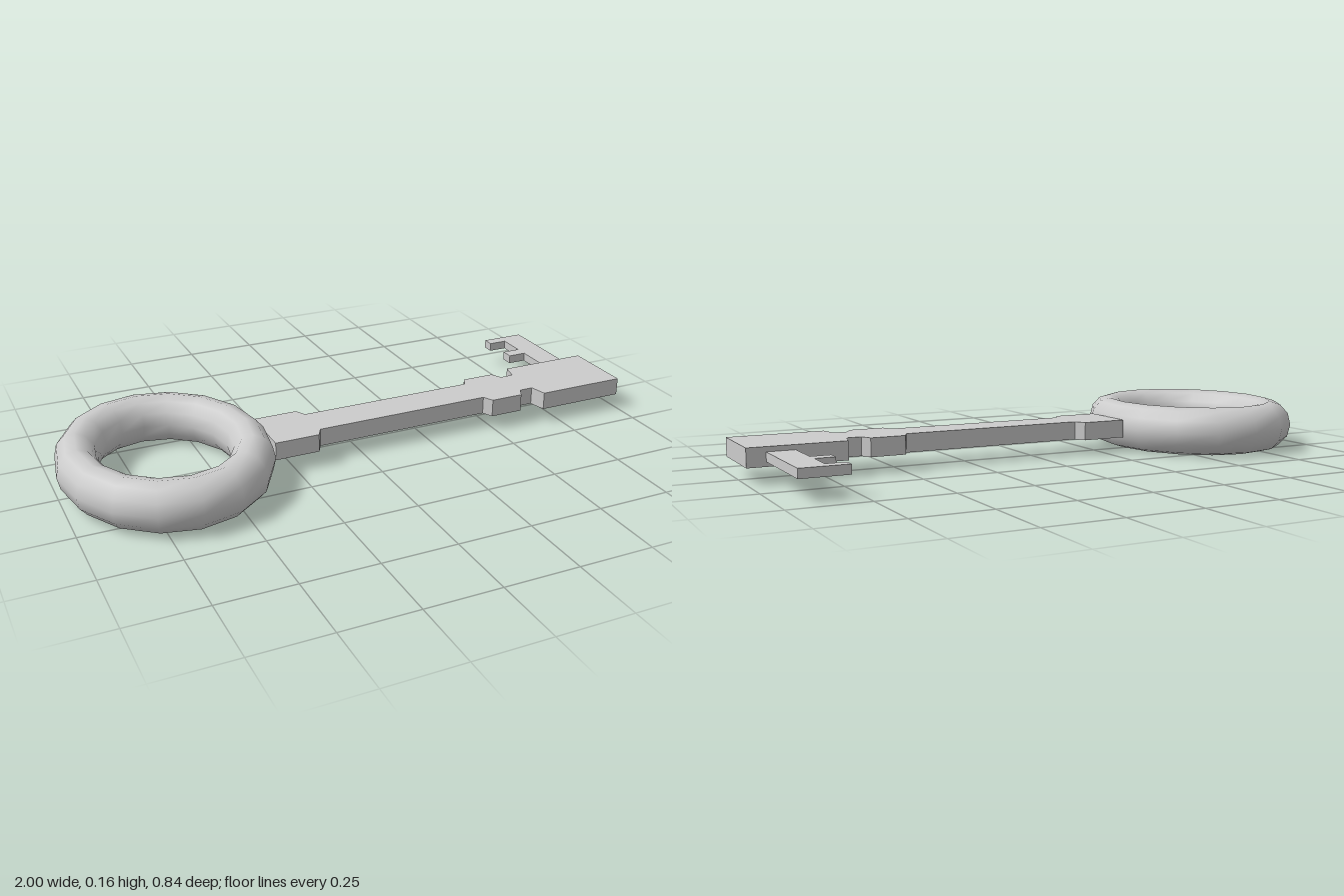
import * as THREE from 'three';

const grey = new THREE.MeshStandardMaterial({ color: 0xcccccc });

// Flat plate from an outline of [x, z] points, lying between two heights
function plate(name, outline, bottom, top) {
  const shape = new THREE.Shape(outline.map(([x, z]) => new THREE.Vector2(x, -z)));
  const geometry = new THREE.ExtrudeGeometry(shape, { depth: top - bottom, bevelEnabled: false });
  geometry.rotateX(-Math.PI / 2).translate(0, bottom, 0);
  const mesh = new THREE.Mesh(geometry, grey);
  mesh.name = name;
  return mesh;
}

export function createModel() {
  const key = new THREE.Group();
  key.name = 'key';

  // Oval ring handle
  const ringGeometry = new THREE.TorusGeometry(0.325, 0.081, 12, 16);
  ringGeometry.rotateX(Math.PI / 2).scale(0.85, 1.01, 1);
  const ring = new THREE.Mesh(ringGeometry, grey);
  ring.name = 'ringHandle';
  ring.position.set(-0.655, 0.082, 0.01);
  key.add(ring);

  // Shank with two collars and a wide end: [x, half width], mirrored about its centre line
  const centreZ = 0.021;
  const profile = [
    [-0.32, 0.101], [-0.168, 0.101], [-0.148, 0.065],
    [0.472, 0.065], [0.489, 0.101], [0.605, 0.101], [0.623, 0.065],
    [0.671, 0.065], [0.685, 0.124], [1, 0.124],
  ];
  const near = profile.map(([x, w]) => [x, centreZ + w]);
  const far = profile.map(([x, w]) => [x, centreZ - w]).reverse();
  key.add(plate('shank', [...near, ...far], 0.051, 0.112));

  // Thin bit with two teeth
  key.add(plate('bit', [
    [0.94, -0.1], [0.94, -0.424], [0.785, -0.424], [0.785, -0.384],
    [0.85, -0.384], [0.85, -0.286], [0.785, -0.286], [0.785, -0.242],
    [0.85, -0.242], [0.85, -0.1],
  ], 0.066, 0.096));

  return key;
}
